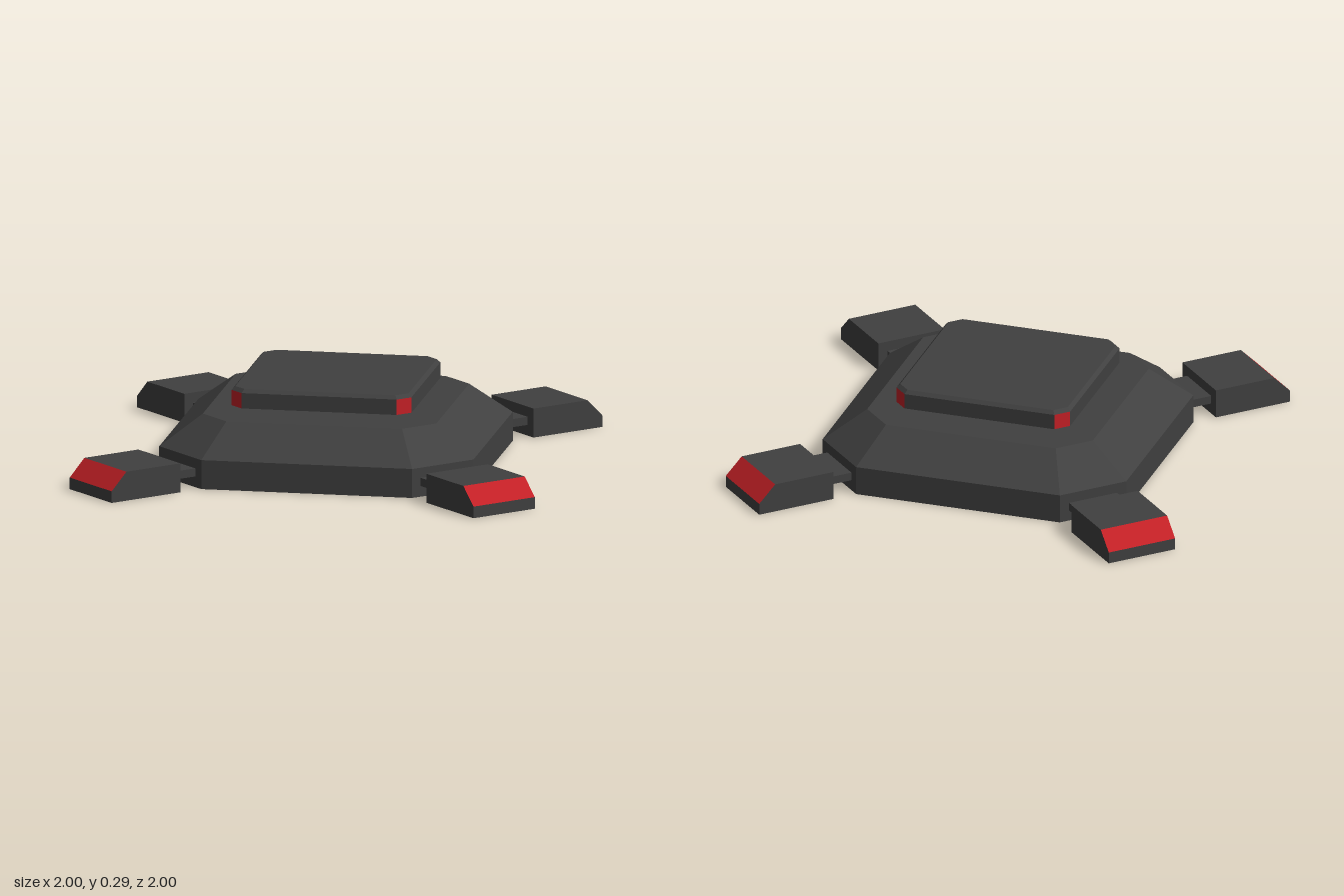
import * as THREE from 'three';

const dark = new THREE.MeshStandardMaterial({ color: 0x404040, flatShading: true });
const red = new THREE.MeshStandardMaterial({ color: 0xc42026, flatShading: true });

// Flat-faced loft through convex rings; keep(ring, side) selects walls, caps closes both ends
function loft(rings, caps = true, keep = () => true) {
  const pos = [];
  const tri = (a, b, c) => pos.push(...a, ...b, ...c);
  const n = rings[0].length;
  for (let r = 0; r < rings.length - 1; r++) {
    for (let i = 0; i < n; i++) {
      if (!keep(r, i)) continue;
      const j = (i + 1) % n;
      const [lo, hi] = [rings[r], rings[r + 1]];
      tri(lo[i], lo[j], hi[j]);
      tri(lo[i], hi[j], hi[i]);
    }
  }
  if (caps) {
    const first = rings[0], last = rings[rings.length - 1];
    for (let i = 1; i < n - 1; i++) {
      tri(first[0], first[i + 1], first[i]);
      tri(last[0], last[i], last[i + 1]);
    }
  }
  const g = new THREE.BufferGeometry();
  g.setAttribute('position', new THREE.Float32BufferAttribute(pos, 3));
  g.computeVertexNormals();
  return g;
}

// Diamond with cut corners: reach along the axes, half-width of each cut
function cutDiamond(reach, half, y) {
  const ring = [];
  let a = [reach, half], b = [reach, -half];
  for (let q = 0; q < 4; q++) {
    ring.push([a[0], y, a[1]], [b[0], y, b[1]]);
    a = [a[1], -a[0]];
    b = [b[1], -b[0]];
  }
  return ring;
}

function add(parent, name, geometry, material) {
  const mesh = new THREE.Mesh(geometry, material);
  mesh.name = name;
  parent.add(mesh);
  return mesh;
}

// Foot pointing along +z, with a red sloped tip and a thin connecting arm
function makeFoot(name) {
  const foot = new THREE.Group();
  foot.name = name;
  const profile = [[0.72, 0], [0.72, 0.1], [0.94, 0.1], [1, 0.04], [1, 0]];
  const rings = [-0.125, 0.125].map(x => profile.map(([z, y]) => [x, y, z]));
  add(foot, 'footBlock', loft(rings, true, (r, i) => i !== 2), dark);
  add(foot, 'footTipPanel', loft(rings, false, (r, i) => i === 2), red);
  add(foot, 'connectingArm', new THREE.BoxGeometry(0.18, 0.028, 0.1), dark)
    .position.set(0, 0.051, 0.677);
  return foot;
}

export function createModel() {
  const model = new THREE.Group();
  model.name = 'fourFootedPad';

  // Body with sloping shoulders
  add(model, 'body', loft([
    cutDiamond(0.635, 0.125, 0),
    cutDiamond(0.635, 0.125, 0.1),
    cutDiamond(0.495, 0.07, 0.205),
  ]), dark);

  // Raised plate hovering above the body, with red corner faces
  const plate = new THREE.Group();
  plate.name = 'topPlate';
  const rings = [
    cutDiamond(0.405, 0.03, 0.23),
    cutDiamond(0.405, 0.03, 0.283),
    cutDiamond(0.392, 0.027, 0.295),
  ];
  const isCorner = (r, i) => r === 0 && i % 2 === 0;
  add(plate, 'plateSlab', loft(rings, true, (r, i) => !isCorner(r, i)), dark);
  add(plate, 'plateCorners', loft(rings, false, isCorner), red);
  model.add(plate);

  // One foot per corner
  ['frontFoot', 'leftFoot', 'backFoot', 'rightFoot'].forEach((name, i) => {
    const foot = makeFoot(name);
    foot.rotation.y = i * Math.PI / 2;
    model.add(foot);
  });

  return model;
}
